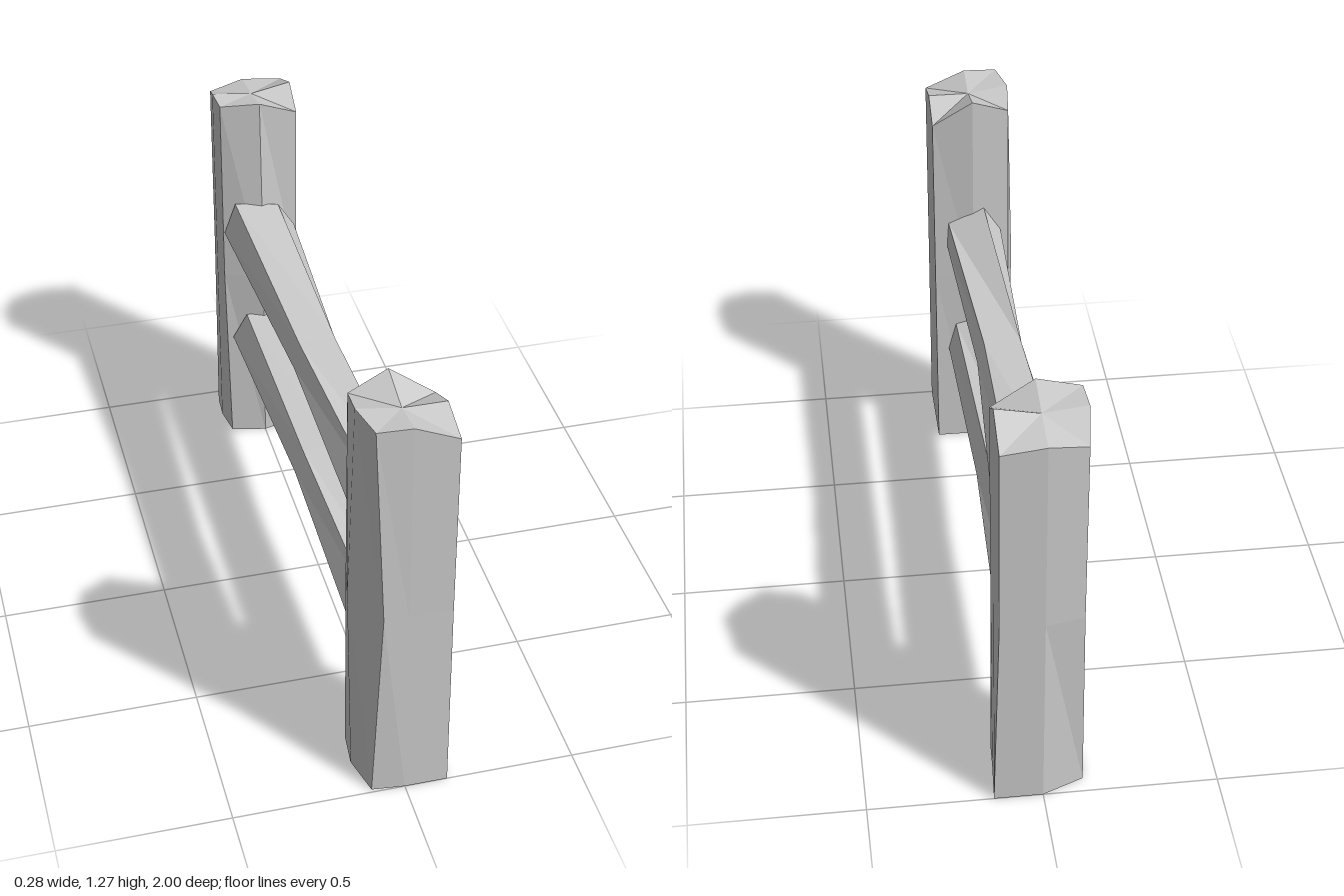
import * as THREE from 'three';

const material = new THREE.MeshStandardMaterial({ color: 0xcccccc, flatShading: true });

// Faceted skin through matching rings of points, closed by a fan at each end.
function loft(name, rings, startCentre, endCentre) {
  const pos = [];
  const tri = (...pts) => pts.forEach((p) => pos.push(...p));
  const n = rings[0].length;
  const first = rings[0], last = rings[rings.length - 1];
  for (let i = 0; i < n; i++) {
    const j = (i + 1) % n;
    for (let r = 0; r < rings.length - 1; r++) {
      const a = rings[r], b = rings[r + 1];
      tri(a[i], a[j], b[i]);
      tri(a[j], b[j], b[i]);
    }
    tri(startCentre, first[j], first[i]);
    tri(endCentre, last[i], last[j]);
  }
  const geo = new THREE.BufferGeometry();
  geo.setAttribute('position', new THREE.Float32BufferAttribute(pos, 3));
  geo.computeVertexNormals();
  const mesh = new THREE.Mesh(geo, material);
  mesh.name = name;
  return mesh;
}

// Post: outlines [x, z] at the foot, waist and head, with a rough-cut top.
function post(name, z, foot, waist, head, heights, peak) {
  const ring = (outline, y) => outline.map(([x, dz], i) => [x, Array.isArray(y) ? y[i] : y, z + dz]);
  return loft(name, [ring(foot, 0), ring(waist, 0.63), ring(head, heights)], [0, 0, z], [0, peak, z]);
}

// Rail: six-sided sections [x, y] at the front end, middle and back end.
function rail(name, y, front, middle, back) {
  const ring = (section, z, bulge) => section.map(([x, dy], i) =>
    [x, y + dy, z + (i === 2 || i === 5 ? bulge : 0)]);
  return loft(name, [ring(front, 0.745, 0.01), ring(middle, 0, 0), ring(back, -0.75, -0.012)],
    [0, y, 0.745], [0, y, -0.755]);
}

export function createModel() {
  const group = new THREE.Group();

  // Outlines run from the left front corner round by the back
  group.add(post('frontPost', 0.87,
    [[0.125, 0.13], [0.125, 0], [0.125, -0.13], [0, -0.13], [-0.115, -0.1], [-0.125, 0], [-0.095, 0.12], [0, 0.13]],
    [[0.125, 0.12], [0.125, 0], [0.125, -0.12], [0, -0.13], [-0.115, -0.11], [-0.14, 0], [-0.07, 0.12], [0, 0.12]],
    [[0.125, 0.12], [0.125, 0], [0.125, -0.11], [0, -0.13], [-0.115, -0.11], [-0.125, 0], [-0.1, 0.115], [0, 0.12]],
    [1.205, 1.24, 1.19, 1.275, 1.23, 1.26, 1.26, 1.26], 1.24));

  group.add(post('backPost', -0.87,
    [[0.125, 0.09], [0.13, 0], [0.14, -0.13], [0, -0.13], [-0.12, -0.08], [-0.125, 0], [-0.11, 0.1], [0, 0.125]],
    [[0.125, 0.07], [0.125, 0], [0.125, -0.13], [0, -0.13], [-0.11, -0.11], [-0.125, 0], [-0.12, 0.09], [0, 0.14]],
    [[0.125, 0.09], [0.125, 0], [0.125, -0.13], [0, -0.13], [-0.11, -0.11], [-0.125, 0], [-0.12, 0.09], [0, 0.12]],
    [1.2, 1.26, 1.205, 1.22, 1.2, 1.25, 1.25, 1.26], 1.235));

  // Sections run from the top right edge, clockwise seen from the front
  group.add(rail('upperRail', 0.8,
    [[-0.035, 0.09], [0.08, 0.04], [0.085, -0.05], [0.03, -0.09], [-0.05, -0.085], [-0.09, 0]],
    [[-0.06, 0.07], [0.05, 0.07], [0.07, 0], [0.04, -0.095], [-0.04, -0.11], [-0.075, -0.02]],
    [[-0.085, 0.11], [0.055, 0.09], [0.11, 0], [0.05, -0.09], [-0.06, -0.09], [-0.12, 0]]));

  group.add(rail('lowerRail', 0.38,
    [[-0.04, 0.1], [0.06, 0.07], [0.085, -0.025], [0.035, -0.08], [-0.05, -0.08], [-0.09, 0.01]],
    [[-0.05, 0.09], [0.045, 0.09], [0.075, 0.005], [0.05, -0.035], [-0.04, -0.07], [-0.075, 0.01]],
    [[-0.055, 0.1], [0.055, 0.095], [0.1, 0.035], [0.06, -0.03], [-0.04, -0.095], [-0.1, 0.01]]));

  return group;
}
